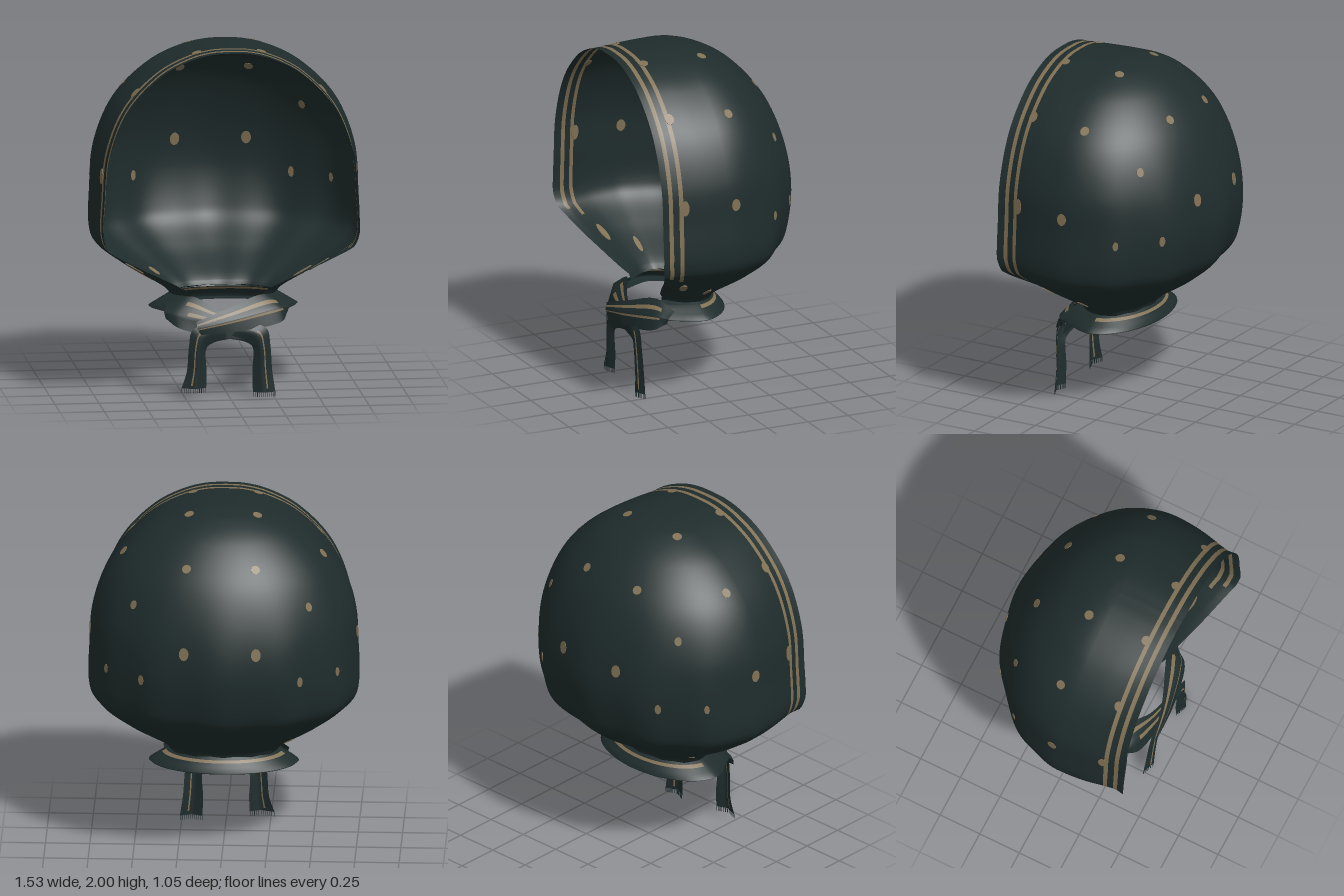
import * as THREE from 'three';
import { mergeVertices } from 'three/addons/utils/BufferGeometryUtils.js';

const V = (x, y, z) => new THREE.Vector3(x, y, z);

// Smooth grid surface from point(u, v); faces inside a band [u0, u1, v0, v1] use material 1
function gridSurface(us, vs, point, bands) {
  const pos = [], index = [];
  const geo = new THREE.BufferGeometry();
  for (const u of us) for (const v of vs) pos.push(...point(u, v).toArray());
  const n = vs.length;
  for (let i = 0; i < us.length - 1; i++) {
    const mid = (us[i] + us[i + 1]) / 2;
    const band = bands.find(([p, q]) => mid > p && mid < q);
    for (let j = 0; j < n - 1; j++) {
      const a = i * n + j, b = a + n;
      const printed = band && vs[j] >= band[2] && vs[j] < band[3] ? 1 : 0;
      const last = geo.groups[geo.groups.length - 1];
      if (last && last.materialIndex === printed) last.count += 6;
      else geo.addGroup(index.length, 6, printed);
      index.push(a, b, a + 1, b, b + 1, a + 1);
    }
  }
  geo.setAttribute('position', new THREE.Float32BufferAttribute(pos, 3));
  geo.setIndex(index);
  const merged = mergeVertices(geo, 1e-5);
  merged.computeVertexNormals();
  return merged;
}

const steps = (a, b, n) => Array.from({ length: n + 1 }, (_, i) => a + (b - a) * i / n);

// Hood profile from crown to neck: half width, height, back depth
const outline = new THREE.CatmullRomCurve3([
  V(0, 2, 0.13), V(0.11, 1.994, 0.05), V(0.25, 1.96, -0.07), V(0.435, 1.865, -0.225), V(0.635, 1.66, -0.395),
  V(0.738, 1.4, -0.495), V(0.757, 1.16, -0.525), V(0.76, 0.95, -0.49), V(0.735, 0.865, -0.455),
  V(0.57, 0.73, -0.31), V(0.33, 0.58, -0.09), V(0.3, 0.545, -0.07)]);
// Matching front edge: depth and narrowing
const frontEdge = [
  ...Array(5).fill([0.515, 0.065]), [0.515, 0.06], [0.515, 0.055], [0.515, 0.045],
  [0.5, 0.055], [0.41, 0.17], [0.285, 0.35], [0.28, 0.35]];

// Hood point: u runs 0-1 along one side, 1-2 round the back, 2-3 along the other side
function hoodPoint(u, t) {
  const p = outline.getPoint(t);
  const k = Math.min(t * 11, 10.9999), i = Math.floor(k), f = k - i;
  const [zf, taper] = frontEdge[i].map((a, n) => a + (frontEdge[i + 1][n] - a) * f);
  const zc = 0.13 - 0.03 * THREE.MathUtils.smoothstep(t, 0.7, 1);
  if (u >= 1 && u <= 2) {
    const a = (u - 1) * Math.PI;
    const gather = THREE.MathUtils.smoothstep(t, 0.3, 0.8) * Math.pow(Math.sin(a), 0.7);
    const r = 1 + 0.018 * gather * Math.cos(12 * (a - Math.PI / 2));
    return V(p.x * Math.cos(a) * r, p.y, zc + (p.z - zc) * Math.sin(a) * r);
  }
  const g = u < 1 ? 1 - u : u - 2;
  const pinch = taper * g * g + 0.05 * g * g * (1 - g ** 6);
  return V((u < 1 ? 1 : -1) * p.x * (1 - pinch), p.y - 0.012 * g * g * (1 - t), zc + (zf - zc) * g);
}

// Cloth strip lofted between rails (lists of points)
function strip(rails, bands, length = 24) {
  const curves = rails.map(r => new THREE.CatmullRomCurve3(r.map(p => V(...p))));
  const edges = bands.flatMap(([p, q]) => [p, q]);
  const us = [...new Set([...steps(0, 1, 8), ...edges])].sort((a, b) => a - b);
  return gridSurface(us, steps(0, 1, length), (u, v) => {
    const k = Math.min(u * (curves.length - 1), curves.length - 1.0001), i = Math.floor(k);
    return curves[i].getPoint(v).lerp(curves[i + 1].getPoint(v), k - i);
  }, bands);
}

export function createModel() {
  const cloth = new THREE.MeshStandardMaterial({ color: 0x1f2c2c, side: THREE.DoubleSide });
  cloth.name = 'dark green cloth';
  const tan = new THREE.MeshStandardMaterial({ color: 0x807053, side: THREE.DoubleSide });
  tan.name = 'tan print';
  const model = new THREE.Group();
  model.name = 'headscarf';
  const add = (name, geo, mat = [cloth, tan], parent = model) => {
    const mesh = new THREE.Mesh(geo, mat);
    mesh.name = name;
    parent.add(mesh);
    return mesh;
  };

  // Hood with two printed stripes along the face opening, ending at the jaw corners
  const side = [0, 0.105, 0.17, 0.262, 0.325, 0.41, 0.5, 0.58, 0.67, 0.84];
  const us = [...side, ...steps(1, 2, 90), ...side.map(s => 3 - s).reverse()];
  const bands = [[0.105, 0.17, 0.73], [0.262, 0.325, 0.76]].flatMap(([a, b, end]) =>
    [[a, b, 0, end], [3 - b, 3 - a, 0, end]]);
  add('hood', gridSurface(us, steps(0, 1, 88), hoodPoint, bands));

  // Printed dots, snapped to the nearest place on the hood: x, y, z, half width, half height, sides
  const dots = new THREE.Group();
  dots.name = 'dots';
  model.add(dots);
  const samples = [];
  for (const u of steps(0, 1.5, 120)) for (const t of steps(0.02, 0.98, 160)) samples.push([u, t, hoodPoint(u, t)]);
  const dotGeo = new THREE.CylinderGeometry(1, 1, 1, 14);
  const both = [1, -1];
  const dotSpots = [
    [0.19, 1.96, 0.03, 0.027, 0.027, both], [0.56, 1.74, 0.03, 0.026, 0.028, both],
    [0.75, 1.27, 0.075, 0.027, 0.035, both],
    [0.19, 1.76, -0.31, 0.026, 0.026, both], [0.51, 1.53, -0.29, 0.021, 0.026, both],
    [0.66, 1.13, -0.22, 0.016, 0.026, both],
    [0.2, 1.31, -0.49, 0.028, 0.037, both], [0.45, 1.13, -0.385, 0.018, 0.03, both],
    [0.18, 1.97, 0.385, 0.027, 0.027, both], [0.52, 1.74, 0.385, 0.026, 0.032, both],
    [0.73, 1.28, 0.385, 0.024, 0.045, both],
    [0.53, 0.71, 0.3, 0.022, 0.065, both], [0.45, 0.655, 0.115, 0.016, 0.06, both],
    [0.38, 0.62, -0.06, 0.016, 0.04, [-1]]];
  for (const [x, y, z, width, height, sides] of dotSpots) {
    const target = V(x, y, z);
    let best = samples[0];
    for (const c of samples) if (c[2].distanceToSquared(target) < best[2].distanceToSquared(target)) best = c;
    const [u, t, p] = best;
    const du = hoodPoint(u + 0.01, t).sub(hoodPoint(u - 0.01, t));
    const down = hoodPoint(u, t + 0.01).sub(hoodPoint(u, t - 0.01)).normalize();
    const normal = du.cross(down).normalize();
    for (const m of sides) {
      const dot = add('dot', dotGeo, tan, dots);
      const n = V(normal.x * m, normal.y, normal.z), d = V(down.x * m, down.y, down.z);
      dot.quaternion.setFromRotationMatrix(new THREE.Matrix4().makeBasis(n.clone().cross(d), n, d));
      dot.position.set(p.x * m, p.y, p.z);
      dot.scale.set(width, 0.0035 + 1.2 * height * height, height);
    }
  }

  // Flared collar round the back of the neck
  const horseshoe = (w, y, back, front, tip) => steps(0, Math.PI, 12).map(a =>
    [w * Math.cos(a), y, 0.12 + (back - 0.12) * Math.sin(a)])
    .concat([[-tip, y, front]]).reverse().concat([[tip, y, front]]);
  add('collar', strip([
    horseshoe(0.29, 0.555, -0.07, 0.29, 0.2), horseshoe(0.33, 0.535, -0.09, 0.3, 0.25),
    horseshoe(0.435, 0.47, -0.145, 0.32, 0.33), horseshoe(0.34, 0.467, -0.09, 0.3, 0.26)],
  [[0.29, 0.39, 0.1, 0.9]], 64));

  // Crossed straps under the chin
  add('upperStrap', strip([
    [[0.33, 0.52, 0.26], [0.2, 0.565, 0.31], [0, 0.505, 0.39], [-0.19, 0.44, 0.435]],
    [[0.35, 0.49, 0.31], [0.28, 0.495, 0.365], [0.02, 0.445, 0.43], [-0.185, 0.4, 0.445]],
    [[0.34, 0.46, 0.31], [0.3, 0.42, 0.38], [0.05, 0.38, 0.435], [-0.165, 0.365, 0.44]]],
  [[0.2, 0.32, 0.2, 1], [0.54, 0.62, 0.2, 1]]));
  add('lowerStrap', strip([
    [[-0.33, 0.52, 0.26], [-0.2, 0.56, 0.3], [-0.08, 0.5, 0.36], [0.14, 0.42, 0.405]],
    [[-0.36, 0.48, 0.31], [-0.28, 0.47, 0.36], [-0.08, 0.43, 0.405], [0.14, 0.38, 0.415]],
    [[-0.35, 0.44, 0.32], [-0.28, 0.395, 0.385], [-0.05, 0.345, 0.415], [0.15, 0.325, 0.42]]],
  [[0.15, 0.25, 0.33, 1], [0.4, 0.5, 0.4, 1]]));

  // Hanging tails with fringed ends
  const threadGeo = new THREE.BoxGeometry(0.003, 0.026, 0.003);
  for (const [name, m, end, out] of [['leftTail', 1, 0.026, 0.26], ['rightTail', -1, 0.056, 0.272]]) {
    const tail = new THREE.Group();
    tail.name = name;
    model.add(tail);
    add('tailCloth', strip([
      [[0, 0.335, 0.415], [0.09, 0.315, 0.415], [0.13, 0.285, 0.415], [0.13, 0.15, 0.41], [0.132, end, 0.412]],
      [[0.04, 0.39, 0.42], [0.15, 0.36, 0.44], [0.175, 0.29, 0.442], [0.185, 0.15, 0.438], [0.195, end, 0.438]],
      [[0.1, 0.43, 0.405], [0.21, 0.39, 0.42], [0.23, 0.3, 0.418], [0.242, 0.15, 0.41], [out, end, 0.41]],
    ].map(r => r.map(([x, y, z]) => [x * m, y, z])), [[0.62, 0.69, 0.2, 0.95]]), [cloth, tan], tail);
    for (const s of steps(0, 1, 11)) {
      add('fringeThread', threadGeo, cloth, tail)
        .position.set((0.135 + (out - 0.137) * s) * m, end - 0.013, 0.411 + 0.027 * (1 - Math.abs(2 * s - 1)));
    }
  }
  return model;
}
